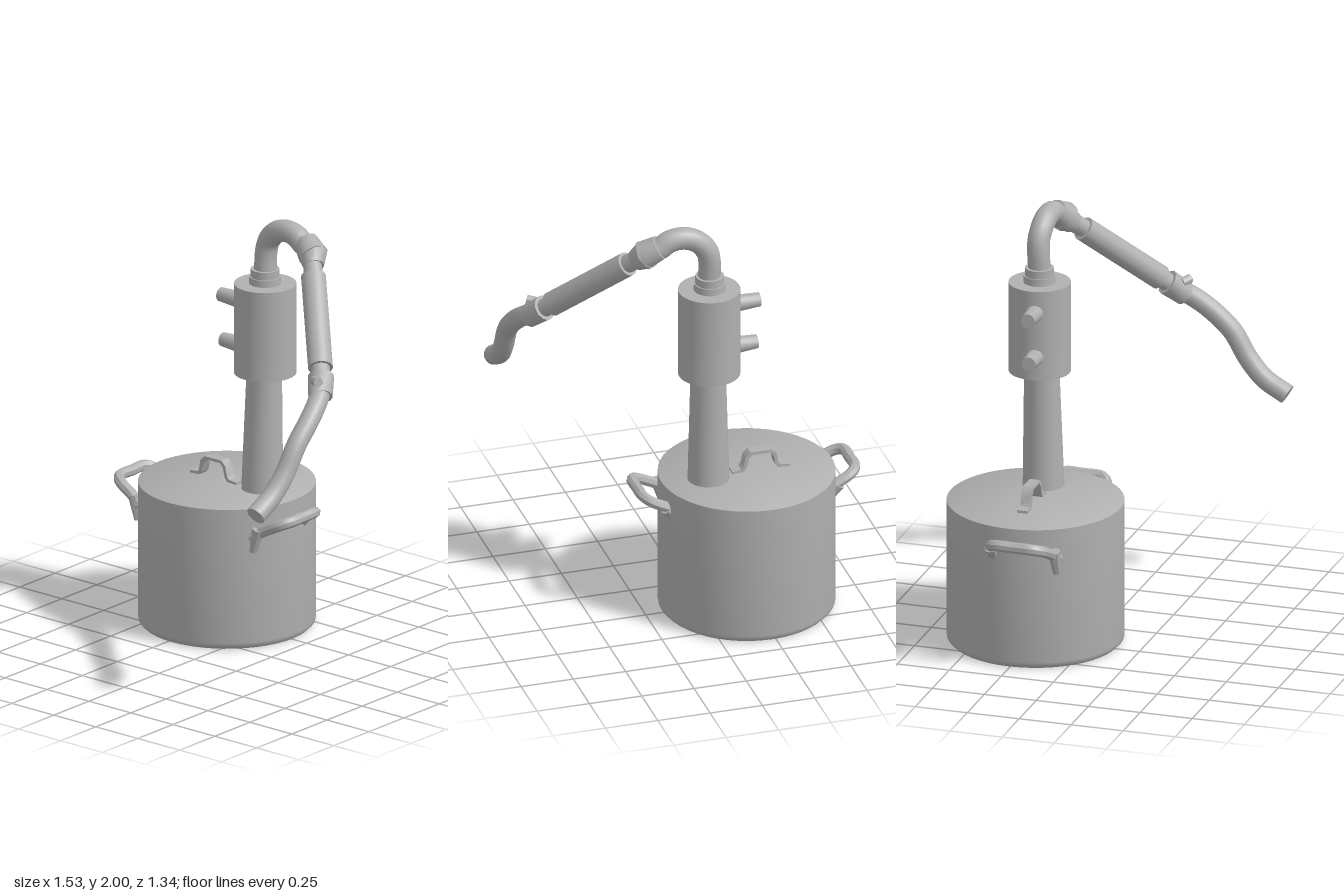
import * as THREE from 'three';
import { toCreasedNormals } from 'three/addons/utils/BufferGeometryUtils.js';

const V = (x, y, z) => new THREE.Vector3(x, y, z);

export function createModel() {
  const model = new THREE.Group();
  const steel = new THREE.MeshStandardMaterial({ color: 0xb0b0b0 });

  const add = (name, geometry, parent = model) => {
    const mesh = new THREE.Mesh(toCreasedNormals(geometry, 0.7), steel);
    mesh.name = name;
    parent.add(mesh);
    return mesh;
  };

  // Straight round piece from a to b
  const rod = (name, a, b, ra, rb, sides = 20, parent = model) => {
    const dir = b.clone().sub(a);
    const mesh = add(name, new THREE.CylinderGeometry(rb, ra, dir.length(), sides), parent);
    mesh.position.copy(a).add(b).multiplyScalar(0.5);
    mesh.quaternion.setFromUnitVectors(V(0, 1, 0), dir.normalize());
    return mesh;
  };

  // Bent round piece through points, closed by thin end discs
  const pipe = (name, points, r, steps, sides = 16, parent = model) => {
    const curve = new THREE.CatmullRomCurve3(points);
    add(name, new THREE.TubeGeometry(curve, steps, r, sides), parent);
    for (const t of [0, 1]) {
      const p = curve.getPoint(t);
      const out = curve.getTangent(t).multiplyScalar(t ? 0.002 : -0.002);
      rod(name + 'End', p.clone().sub(out), p.clone().add(out), r, r, sides, parent);
    }
  };

  // Pot with flat lid and small bottom bevel
  const potProfile = [[0, 0], [0.39, 0], [0.405, 0.015], [0.407, 0.03], [0.407, 0.678], [0.404, 0.68], [0, 0.68]];
  const pot = add('pot', new THREE.LatheGeometry(potProfile.map(p => new THREE.Vector2(...p)), 48));
  pot.position.set(-0.23, 0, -0.256);

  // Side handles, mirrored about the pot
  for (const s of [-1, 1]) {
    const handle = new THREE.Group();
    handle.name = s < 0 ? 'rightPotHandle' : 'leftPotHandle';
    handle.position.x = -0.235;
    model.add(handle);
    const points = [
      [0.33, 0.535, -0.04], [0.39, 0.572, -0.055], [0.475, 0.615, -0.07], [0.505, 0.628, -0.1],
      [0.508, 0.63, -0.19], [0.505, 0.63, -0.28], [0.475, 0.615, -0.315], [0.38, 0.575, -0.335],
    ].map(([x, y, z]) => V(s * x, y, z));
    pipe('handleBar', points, 0.026, 32, 8, handle);
    // Flared mounting feet
    for (const [x, z] of [[0.345, -0.04], [0.385, -0.33]]) {
      rod('handleFoot', V(s * (x - 0.005), z < -0.2 ? 0.53 : 0.468, z), V(s * (x + 0.025), 0.58, z - 0.005), 0.02, 0.03, 8, handle);
    }
  }

  // Lid handle: a bent strap
  const strap = new THREE.Shape([
    [-0.43, 0.68], [-0.375, 0.682], [-0.36, 0.7], [-0.352, 0.745], [-0.335, 0.764], [-0.25, 0.764],
    [-0.233, 0.745], [-0.222, 0.7], [-0.207, 0.682], [-0.155, 0.68],
    [-0.155, 0.69], [-0.197, 0.695], [-0.209, 0.708], [-0.218, 0.755], [-0.243, 0.778],
    [-0.342, 0.778], [-0.367, 0.755], [-0.375, 0.708], [-0.385, 0.695], [-0.43, 0.692],
  ].map(p => new THREE.Vector2(...p)));
  add('lidHandle', new THREE.ExtrudeGeometry(strap, { depth: 0.05, bevelEnabled: false })).position.z = -0.28;

  // Column, cooling jacket and neck
  rod('column', V(-0.04, 0.67, -0.28), V(-0.036, 1.25, -0.29), 0.096, 0.081, 28);
  rod('coolingJacket', V(-0.038, 1.235, -0.299), V(-0.038, 1.667, -0.299), 0.143, 0.143, 36);
  rod('neckBase', V(-0.04, 1.66, -0.3), V(-0.04, 1.7, -0.3), 0.074, 0.072, 20);
  rod('neck', V(-0.04, 1.69, -0.3), V(-0.04, 1.737, -0.3), 0.066, 0.066, 20);

  // Water ports on the jacket
  for (const [y, end] of [[1.56, -0.285], [1.345, -0.272]]) {
    rod('waterPort', V(-0.12, y, -0.28), V(end, y + 0.003, -0.276), 0.043, 0.033, 14);
  }

  // Gooseneck arch
  const arch = [[-0.038, 1.72, -0.3], [-0.038, 1.81, -0.305]];
  for (let i = 1; i <= 6; i++) {
    const a = Math.PI * (1 - i * 0.125);
    arch.push([0.1 + 0.138 * Math.cos(a), 1.81 + 0.138 * Math.sin(a), -0.31 + 0.003 * i]);
  }
  arch.push([0.25, 1.885, -0.285]);
  pipe('gooseneck', arch.map(p => V(...p)), 0.052, 40);

  // Sloping condenser: points along its axis
  const top = V(0.24, 1.9, -0.295), bottom = V(0.665, 1.43, 0.135);
  const at = t => top.clone().lerp(bottom, t);
  rod('upperCoupling', V(0.2, 1.92, -0.303), V(0.27, 1.875, -0.275), 0.058, 0.07, 10);
  rod('upperCouplingNut', V(0.255, 1.885, -0.285), V(0.295, 1.84, -0.245), 0.07, 0.05, 10);
  rod('condenserPipe', at(0.05), at(0.98), 0.043, 0.043, 16);
  rod('condenserSleeve', at(0.2), at(0.85), 0.057, 0.057, 24);
  rod('lowerCoupling', at(0.91), V(0.68, 1.405, 0.165), 0.06, 0.056, 12);
  rod('clampScrew', V(0.64, 1.47, 0.16), V(0.685, 1.478, 0.185), 0.023, 0.023, 8);

  // Flexible outlet hose
  pipe('hose', [
    [0.655, 1.44, 0.125], [0.692, 1.39, 0.2], [0.712, 1.325, 0.285], [0.717, 1.235, 0.38],
    [0.711, 1.11, 0.46], [0.703, 1.025, 0.54], [0.7, 0.962, 0.648],
  ].map(p => V(...p)), 0.047, 48);

  return model;
}
